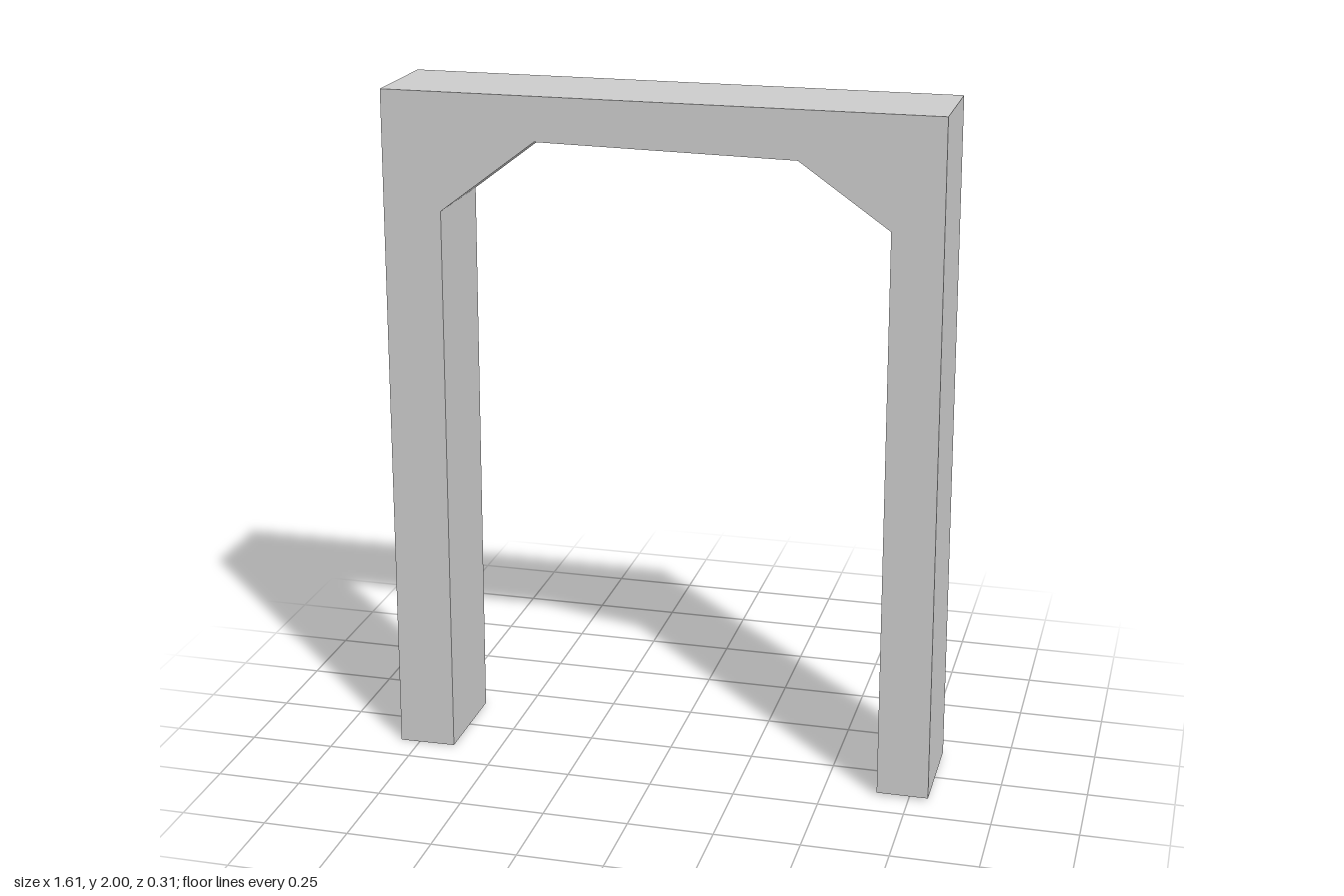
import * as THREE from 'three';

export function createModel() {
  const group = new THREE.Group();
  const depth = 0.306;

  // Arch outline, counter-clockwise from the right leg's outer foot;
  // the opening has slightly uneven chamfered corners
  const outline = [
    [-0.808, 0], [-0.64, 0.002],                    // right foot
    [-0.628, 1.661], [-0.35, 1.873],                // right chamfer
    [0.39, 1.861], [0.648, 1.681],                  // left chamfer
    [0.656, 0.008], [0.806, 0.008],                 // left foot
    [0.79, 2], [-0.795, 2],                         // top
  ].map(([x, y]) => new THREE.Vector2(x, y));

  const geometry = new THREE.ExtrudeGeometry(new THREE.Shape(outline), { depth, bevelEnabled: false });
  geometry.translate(0, 0, -depth / 2);

  const frame = new THREE.Mesh(
    geometry,
    new THREE.MeshStandardMaterial({ color: 0xcccccc, flatShading: true })
  );
  frame.name = 'archFrame';
  group.add(frame);
  return group;
}
